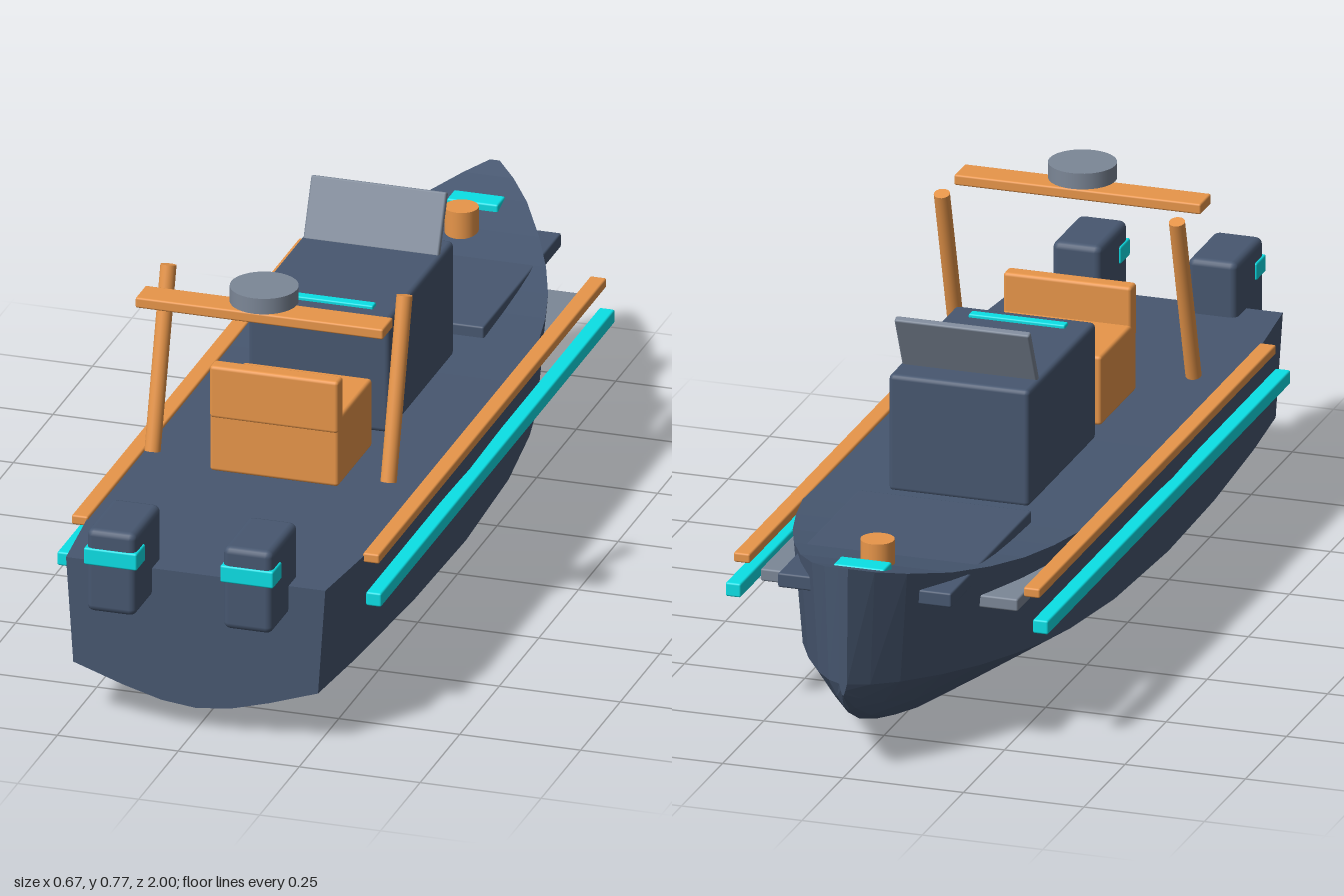
import * as THREE from 'three';
import { RoundedBoxGeometry } from 'three/addons/geometries/RoundedBoxGeometry.js';

const paint = (color) => new THREE.MeshStandardMaterial({ color });
const navy = paint(0x475770);
const orange = paint(0xe8964a);
const cyan = paint(0x0be0e6);
const grey = paint(0x7c8797);

// Hull stations: z, keel y, chine y, chine half width, sheer y, sheer half width
const STATIONS = [
  [0.89, 0.05, 0.115, 0.253, 0.337, 0.268],
  [0.7, 0.033, 0.117, 0.272, 0.337, 0.287],
  [0.4, 0.012, 0.12, 0.292, 0.337, 0.305],
  [0.1, 0.003, 0.123, 0.3, 0.337, 0.312],
  [-0.2, 0.005, 0.128, 0.29, 0.338, 0.306],
  [-0.4, 0.012, 0.136, 0.268, 0.342, 0.287],
  [-0.5, 0.018, 0.142, 0.249, 0.346, 0.268],
  [-0.6, 0.025, 0.149, 0.222, 0.353, 0.241],
  [-0.7, 0.036, 0.157, 0.186, 0.365, 0.204],
  [-0.8, 0.056, 0.167, 0.14, 0.382, 0.157],
  [-0.9, 0.092, 0.18, 0.085, 0.408, 0.099],
  [-0.96, 0.13, 0.19, 0.043, 0.427, 0.052],
  [-1, 0.175, 0.2, 0.008, 0.443, 0.01],
];

// Cross-section from the left sheer, under the keel, to the right sheer
function section([z, keel, chine, cw, sheer, sw]) {
  const half = [[sw, sheer], [cw, chine]];
  for (const [u, v] of [[0.6, 0.47], [0.28, 0.12]]) half.push([cw * u, keel + (chine - keel) * v]);
  const mirrored = half.map(([x, y]) => [-x, y]).reverse();
  return [...half, [0, keel], ...mirrored].map(([x, y]) => [x, y, z]);
}

function hullGeometry() {
  const rings = STATIONS.map(section);
  const n = rings[0].length;
  const last = rings.length - 1;
  const index = [];
  for (let i = 0; i < last; i++) {
    for (let j = 0; j < n; j++) {
      const k = (j + 1) % n;
      const a = i * n + j, b = i * n + k, c = b + n, d = a + n;
      index.push(a, b, d, b, c, d);
    }
  }
  // Transom and stem caps
  for (let j = 1; j < n - 1; j++) {
    index.push(0, j + 1, j, last * n, last * n + j, last * n + j + 1);
  }
  const g = new THREE.BufferGeometry();
  g.setAttribute('position', new THREE.Float32BufferAttribute(rings.flat(2), 3));
  g.setIndex(index);
  const flat = g.toNonIndexed();
  flat.computeVertexNormals();
  return flat;
}

export function createModel() {
  const group = new THREE.Group();

  function add(name, geometry, material, x, y, z) {
    const mesh = new THREE.Mesh(geometry, material);
    mesh.name = name;
    mesh.position.set(x, y, z);
    group.add(mesh);
    return mesh;
  }

  // Softened box given by its extents on each axis
  function box(name, material, [x0, x1], [y0, y1], [z0, z1], radius = 0.004) {
    const g = new RoundedBoxGeometry(x1 - x0, y1 - y0, z1 - z0, 2, radius);
    return add(name, g, material, (x0 + x1) / 2, (y0 + y1) / 2, (z0 + z1) / 2);
  }

  const hullMaterial = navy.clone();
  hullMaterial.flatShading = true;
  add('hull', hullGeometry(), hullMaterial, 0, 0, 0);

  // Foredeck
  box('foredeckHatch', navy, [-0.18, 0.18], [0.335, 0.365], [-0.87, -0.38]);
  box('bowLocker', grey, [-0.267, 0.267], [0.284, 0.31], [-0.72, -0.42]);
  add('mooringPost', new THREE.CylinderGeometry(0.034, 0.034, 0.065, 24), orange, 0, 0.398, -0.79);
  box('bowLight', cyan, [-0.053, 0.053], [0.385, 0.412], [-0.905, -0.857]);

  // Helm console with raked windshield
  box('console', navy, [-0.146, 0.146], [0.336, 0.581], [-0.297, 0.113], 0.01);
  box('consoleLight', cyan, [-0.1, 0.1], [0.574, 0.588], [0.055, 0.077], 0.003);
  const windshield = box('windshield', grey, [-0.14, 0.14], [0.57, 0.698], [-0.255, -0.24]);
  windshield.rotation.x = -0.42;

  // Helm seat
  box('seatBase', orange, [-0.133, 0.133], [0.336, 0.481], [0.18, 0.396], 0.007);
  box('seatBack', orange, [-0.133, 0.133], [0.45, 0.561], [0.362, 0.398], 0.007);

  // Radar arch
  const foot = new THREE.Vector3(0, 0.372, 0.417);
  const head = new THREE.Vector3(0, 0.73, 0.316);
  const lean = head.clone().sub(foot);
  const middle = foot.clone().add(head).multiplyScalar(0.5);
  box('archBar', orange, [-0.256, 0.256], [0.707, 0.729], [0.425, 0.49]);
  add('radar', new THREE.CylinderGeometry(0.068, 0.068, 0.033, 32), grey, 0, 0.76, 0.457);

  // Paired parts
  for (const [side, s] of [['left', 1], ['right', -1]]) {
    const span = (a, b) => (s > 0 ? [a, b] : [-b, -a]);

    const leg = add(side + 'ArchLeg', new THREE.CylinderGeometry(0.016, 0.016, lean.length(), 20),
      orange, 0.244 * s, middle.y, middle.z);
    leg.quaternion.setFromUnitVectors(new THREE.Vector3(0, 1, 0), lean.clone().normalize());

    box(side + 'Gunwale', orange, span(0.284, 0.318), [0.323, 0.343], [-0.735, 0.703]);
    box(side + 'RubRail', cyan, span(0.303, 0.335), [0.249, 0.278], [-0.735, 0.742]);
    box(side + 'Outboard', navy, span(0.09, 0.192), [0.275, 0.451], [0.83, 0.997], 0.014);
    box(side + 'OutboardBand', cyan, span(0.086, 0.196), [0.376, 0.412], [0.943, 1]);
  }

  return group;
}
